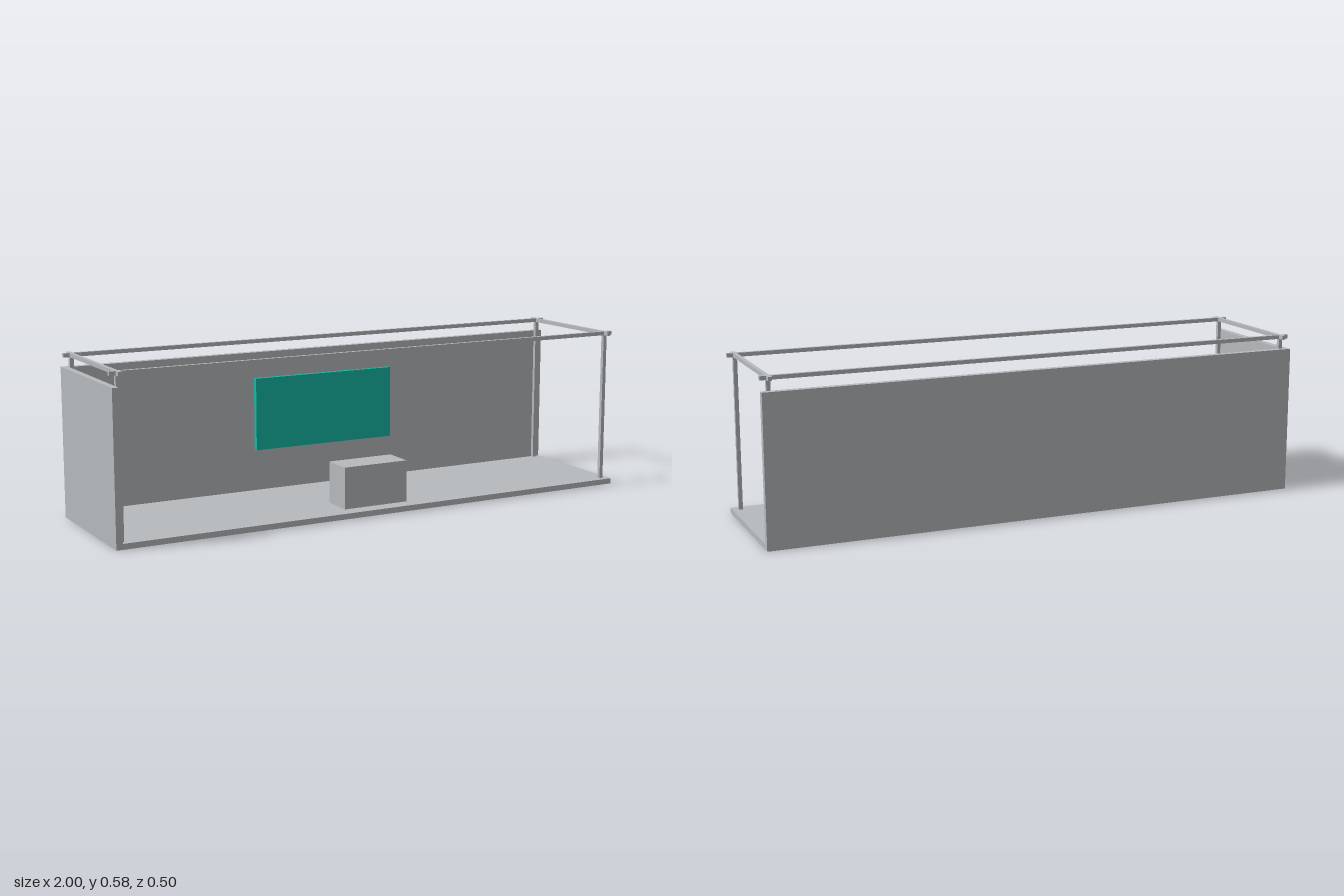
import * as THREE from 'three';

export function createModel() {
  const group = new THREE.Group();
  const grey = new THREE.MeshStandardMaterial({ name: 'light grey', color: 0xb6babd });
  const teal = new THREE.MeshStandardMaterial({ name: 'teal', color: 0x14b8a6 });

  // Box spanning two opposite corners
  const box = (name, material, [x0, y0, z0], [x1, y1, z1]) => {
    const mesh = new THREE.Mesh(new THREE.BoxGeometry(x1 - x0, y1 - y0, z1 - z0), material);
    mesh.position.set((x0 + x1) / 2, (y0 + y1) / 2, (z0 + z1) / 2);
    mesh.name = name;
    group.add(mesh);
  };

  const wall = 0.023, floor = 0.02, wallTop = 0.535;
  const frameTop = 0.585, r = 0.007; // r: half thickness of the bars
  const px = 0.971, pz = 0.2205; // post centres

  // Floor, back wall and the single end wall
  box('floor', grey, [-1 + wall, 0, -0.25 + wall], [1, floor, 0.25]);
  box('backWall', grey, [-1 + wall, 0, -0.25], [1, wallTop, -0.25 + wall]);
  box('rightWall', grey, [-1, 0, -0.25], [-1 + wall, wallTop, 0.25]);

  // Overhead frame: corner posts with crossing rails
  for (const sx of [-1, 1]) {
    const x = sx * px;
    for (const sz of [-1, 1]) {
      const z = sz * pz;
      box('post', grey, [x - r, floor, z - r], [x + r, frameTop - 2 * r, z + r]);
    }
    box('crossRail', grey, [x - r, frameTop - 2 * r, -0.25], [x + r, frameTop, 0.25]);
  }
  for (const z of [-pz, pz]) {
    box('longRail', grey, [-1, frameTop - 2 * r, z - r], [1, frameTop, z + r]);
  }

  // Counter and hanging screen
  box('counter', grey, [-0.126, floor, 0.077], [0.126, 0.171, 0.193]);
  box('screen', teal, [-0.282, 0.177, -0.213], [0.282, 0.443, -0.195]);

  return group;
}
